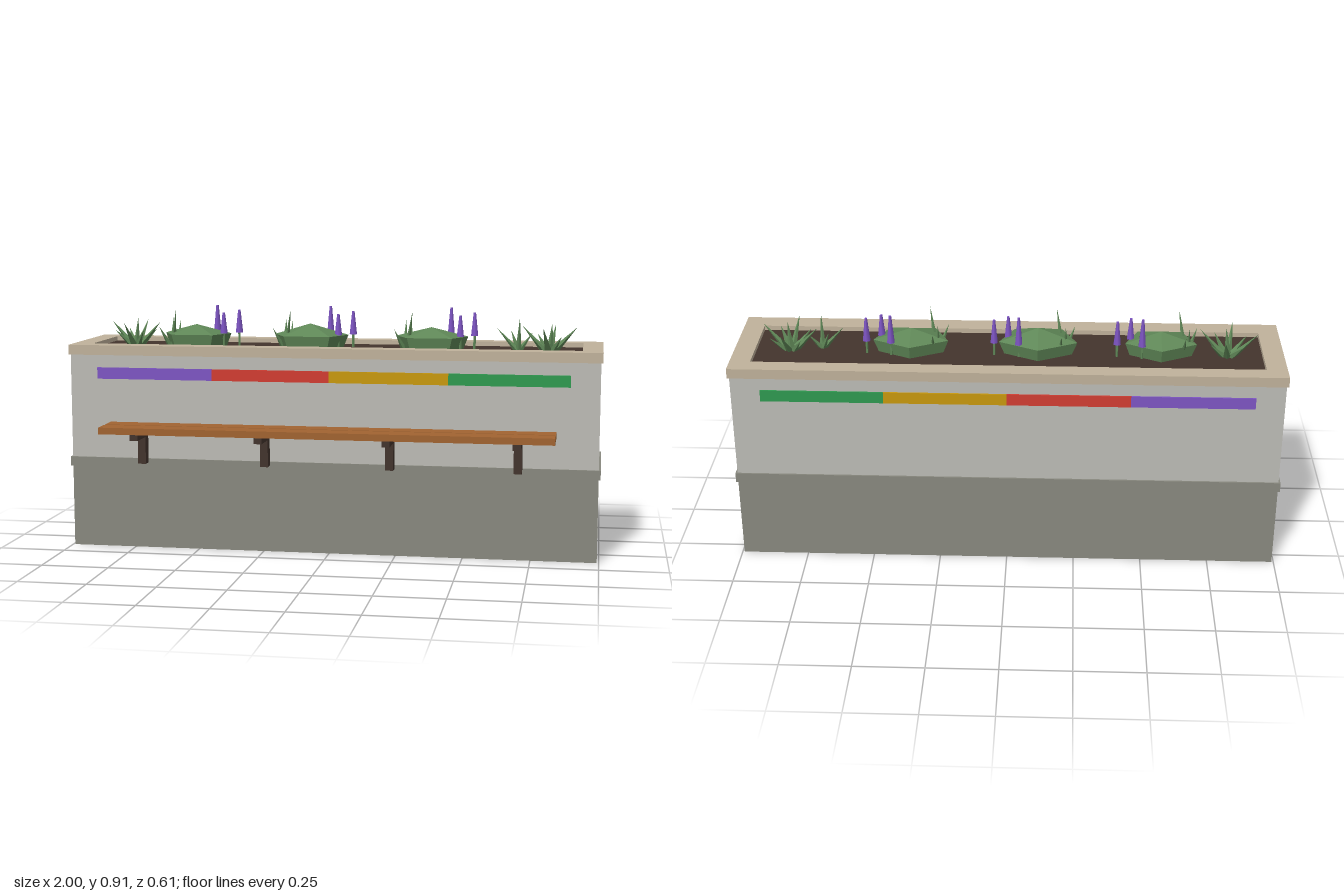
import * as THREE from 'three';

const mat = (name, color, extra = {}) => {
  const m = new THREE.MeshStandardMaterial({ color, ...extra });
  m.name = name;
  return m;
};

export function createModel() {
  const model = new THREE.Group();
  model.name = 'planterWithBench';
  const M = {
    concrete: mat('paleConcrete', 0xbdbcb6),
    base: mat('darkConcrete', 0x89897f),
    rim: mat('sandstone', 0xc0b29b),
    dark: mat('darkBrown', 0x43342d),
    wood: mat('wood', 0xa26431),
    leaf: mat('leafGreen', 0x5f8757, { flatShading: true }),
    purple: mat('purple', 0x7e55c4),
    red: mat('red', 0xd23d32),
    yellow: mat('yellow', 0xc9990e),
    green: mat('green', 0x2f9a50),
  };
  const add = (name, geo, material, parent = model) => {
    const mesh = new THREE.Mesh(geo, material);
    mesh.name = name;
    parent.add(mesh);
    return mesh;
  };
  // Box given by its lower and upper limits on each axis
  const box = (name, material, [x0, x1], [y0, y1], [z0, z1], parent) =>
    add(name, new THREE.BoxGeometry(x1 - x0, y1 - y0, z1 - z0), material, parent)
      .position.set((x0 + x1) / 2, (y0 + y1) / 2, (z0 + z1) / 2);
  const group = (name) => {
    const g = new THREE.Group();
    g.name = name;
    model.add(g);
    return g;
  };

  // Planter walls
  box('plinth', M.base, [-0.993, 0.993], [0, 0.308], [-0.299, 0.14]);
  box('ledge', M.base, [-1, 1], [0.308, 0.344], [-0.305, 0.146]);
  box('upperWall', M.concrete, [-0.993, 0.993], [0.344, 0.735], [-0.299, 0.14]);
  box('soil', M.dark, [-0.93, 0.93], [0.735, 0.755], [-0.245, 0.075]);

  // Rim frame with its opening
  const rect = (S, x, z0, z1) => new S([
    new THREE.Vector2(-x, z0), new THREE.Vector2(x, z0),
    new THREE.Vector2(x, z1), new THREE.Vector2(-x, z1)]);
  const rimShape = rect(THREE.Shape, 1, -0.146, 0.305);
  rimShape.holes.push(rect(THREE.Path, 0.925, -0.07, 0.24));
  const rim = add('rim', new THREE.ExtrudeGeometry(rimShape, { depth: 0.037, bevelEnabled: false }), M.rim);
  rim.rotation.x = -Math.PI / 2;
  rim.position.y = 0.735;

  // Four-colour band on front and back
  const bands = group('colourBands');
  [M.purple, M.red, M.yellow, M.green].forEach((m, i) => {
    const x = [-0.888 + i * 0.4435, -0.888 + (i + 1) * 0.4435];
    box('frontBand', m, x, [0.645, 0.688], [0.14, 0.146], bands);
    box('backBand', m, x, [0.645, 0.688], [-0.304, -0.299], bands);
  });

  // Bench
  const bench = group('bench');
  box('innerPlank', M.wood, [-0.838, 0.838], [0.457, 0.482], [0.147, 0.222], bench);
  box('outerPlank', M.wood, [-0.838, 0.838], [0.457, 0.482], [0.232, 0.307], bench);
  for (const x of [-0.707, -0.238, 0.232, 0.702]) {
    box('bracketArm', M.dark, [x - 0.015, x + 0.015], [0.433, 0.457], [0.14, 0.294], bench);
    box('bracketLeg', M.dark, [x - 0.015, x + 0.015], [0.33, 0.433], [0.15, 0.187], bench);
  }

  // Tapered leaf from base to tip
  const up = new THREE.Vector3(0, 1, 0);
  const blade = (parent, from, to, r = 0.012) => {
    const a = new THREE.Vector3(...from), d = new THREE.Vector3(...to).sub(a);
    const leaf = add('leafBlade', new THREE.ConeGeometry(r, d.length(), 4), M.leaf, parent);
    leaf.quaternion.setFromUnitVectors(up, d.clone().normalize());
    leaf.position.copy(a).addScaledVector(d, 0.5);
  };

  // Faceted shrubs, each with leaves at one side and flower spikes at the other
  const shrubs = [[-0.555, 0.137, 0.096, 0.839], [-0.108, 0.15, 0.103, 0.847], [0.357, 0.144, 0.097, 0.839]];
  for (const [x, rx, rz, top] of shrubs) {
    const g = group('shrubCluster');
    const profile = [[0.84, 0.745], [1, 0.803], [0, top]].map(p => new THREE.Vector2(...p));
    const shrub = add('shrub', new THREE.LatheGeometry(profile, 5, Math.PI), M.leaf, g);
    shrub.scale.set(rx, 1, rz);
    shrub.position.set(x, 0, -0.075);
    blade(g, [x - 0.09, 0.75, -0.06], [x - 0.066, 0.9, -0.015]);
    blade(g, [x - 0.1, 0.75, -0.08], [x - 0.1, 0.865, -0.11]);
    blade(g, [x - 0.1, 0.75, -0.06], [x - 0.135, 0.832, -0.02]);
    blade(g, [x - 0.08, 0.75, -0.09], [x - 0.085, 0.85, -0.16]);
    const spikes = [[0.07, -0.13, 0.91], [0.11, -0.065, 0.885], [0.16, -0.115, 0.893]];
    for (const [dx, z, y] of spikes) {
      const stem = add('flowerStem', new THREE.CylinderGeometry(0.005, 0.005, 0.06, 5), M.leaf, g);
      stem.position.set(x + dx, 0.78, z);
      const flower = add('flowerSpike', new THREE.CylinderGeometry(0.005, 0.015, y - 0.805, 6), M.purple, g);
      flower.position.set(x + dx, (y + 0.805) / 2, z);
    }
  }

  // Star-shaped leaf clumps at both ends
  for (const x of [-0.8, 0.8]) {
    const g = group('starClump');
    for (let i = 0; i < 8; i++) {
      const a = i * Math.PI / 4 + 0.2, r = i % 2 ? 0.085 : 0.105;
      blade(g, [x + 0.015 * Math.cos(a), 0.75, -0.087 + 0.015 * Math.sin(a)],
        [x + r * Math.cos(a), i % 2 ? 0.815 : 0.847, -0.087 + r * 0.95 * Math.sin(a)], 0.014);
    }
    blade(g, [x, 0.75, -0.087], [x + 0.01, 0.86, -0.08], 0.014);
  }

  // Small upright clump beside the right-hand star
  const tuft = group('tuft');
  for (const tip of [[0.605, 0.838, -0.075], [0.69, 0.88, -0.05], [0.655, 0.83, -0.11], [0.735, 0.82, -0.1]])
    blade(tuft, [0.685, 0.75, -0.075], tip);

  return model;
}
